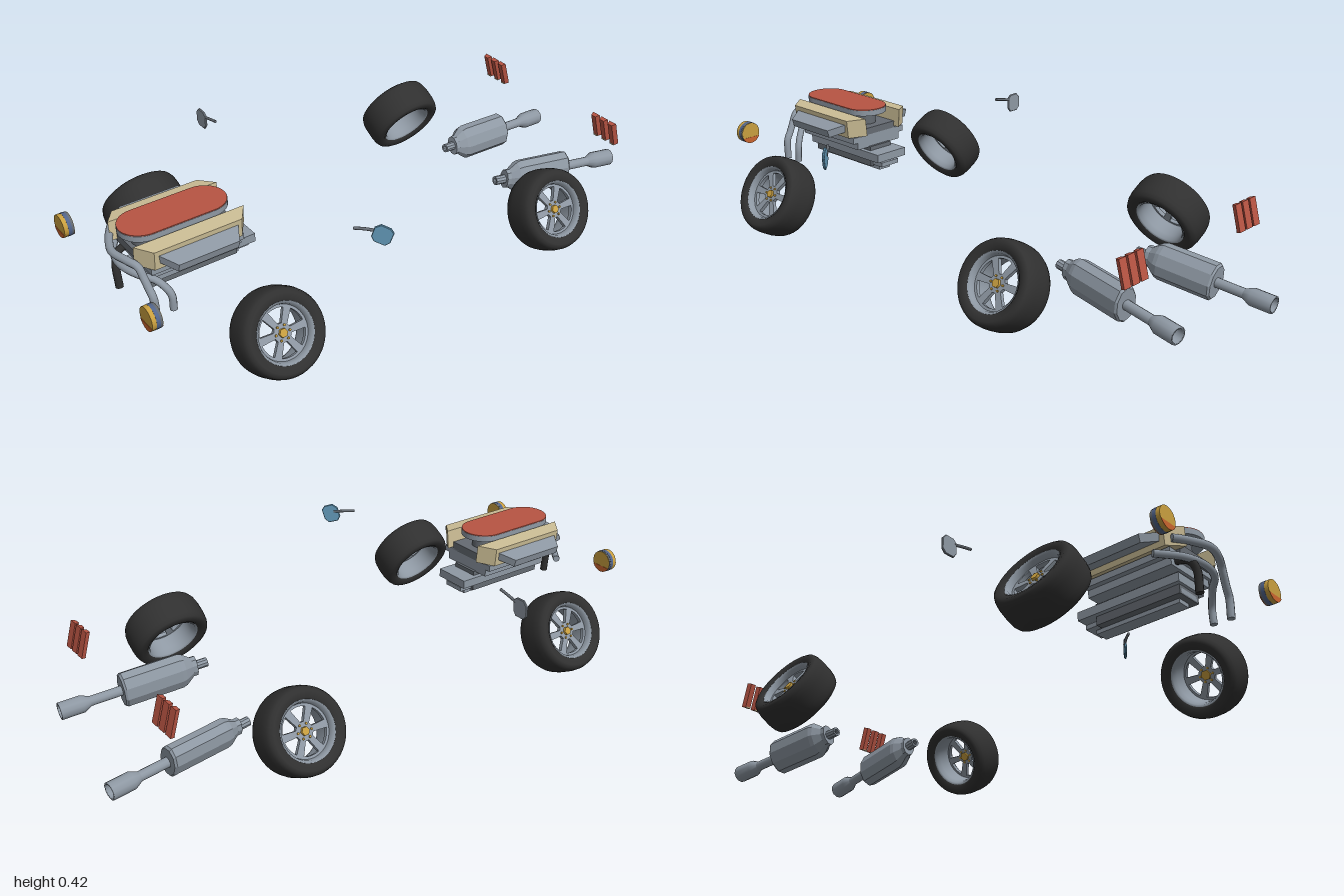
import * as THREE from 'three';

const mat = (name, color, double = false) => {
  const m = new THREE.MeshStandardMaterial({ color });
  m.name = name;
  m.flatShading = false;
  if (double) m.side = THREE.DoubleSide;
  return m;
};
const M = {
  steel: mat('steel grey', 0x8e98a3, true),
  dark: mat('dark grey', 0x656b72, true),
  rubber: mat('rubber black', 0x303030, true),
  tan: mat('tan', 0xcbbd95),
  red: mat('red', 0xb75443),
  gold: mat('gold', 0xc99f3f),
  orange: mat('orange', 0xc9652f),
  blue: mat('mirror blue', 0x679fbf),
  navy: mat('slate blue', 0x52658c),
};
const V = (x, y, z) => new THREE.Vector3(x, y, z);
const TAU = Math.PI * 2;

function add(parent, name, geo, material, pos = [0, 0, 0], rot = [0, 0, 0]) {
  const m = new THREE.Mesh(geo, material);
  m.name = name;
  m.position.set(...pos);
  m.rotation.set(...rot);
  parent.add(m);
  return m;
}
const box = (w, h, d) => new THREE.BoxGeometry(w, h, d);

// box given by its limits
function block(parent, name, material, x0, x1, y0, y1, z0, z1) {
  return add(parent, name, box(x1 - x0, y1 - y0, z1 - z0), material,
    [(x0 + x1) / 2, (y0 + y1) / 2, (z0 + z1) / 2]);
}
// upright prism from a plan outline of [x, z] points, centred on y = 0
function prism(pts, height) {
  const s = new THREE.Shape(pts.map(([x, z]) => new THREE.Vector2(x, -z)));
  const g = new THREE.ExtrudeGeometry(s, { depth: height, bevelEnabled: false });
  return g.rotateX(-Math.PI / 2).translate(0, -height / 2, 0);
}
function tube(parent, name, material, pts, r) {
  const c = new THREE.CatmullRomCurve3(pts.map((p) => V(...p)), false, 'centripetal');
  const g = new THREE.Group();
  g.name = name;
  add(g, name + 'Wall', new THREE.TubeGeometry(c, 40, r, 10), material);
  for (const t of [0, 1]) {
    const d = c.getTangent(t);
    const cap = add(g, name + 'End', new THREE.CircleGeometry(r, 10), material);
    cap.position.copy(c.getPoint(t));
    cap.quaternion.setFromUnitVectors(V(0, 0, 1), d);
  }
  parent.add(g);
}
const lathe = (pts, n) => new THREE.LatheGeometry(pts.map(([r, y]) => new THREE.Vector2(r, y)), n);

// wheel: axis along local y, outer face up
function wheel() {
  const g = new THREE.Group();
  add(g, 'tyre', lathe([[0.094, -0.05], [0.102, -0.058], [0.12, -0.062], [0.131, -0.056], [0.137, -0.042],
    [0.14, -0.02], [0.14, 0.02], [0.137, 0.042], [0.131, 0.056], [0.12, 0.062], [0.102, 0.058], [0.094, 0.05]], 48), M.rubber);
  add(g, 'rimBarrel', lathe([[0.095, -0.053], [0.088, -0.05], [0.084, -0.03], [0.084, 0.03], [0.088, 0.048], [0.096, 0.053]], 48), M.steel);
  // spoke disc with six tapered windows
  const disc = new THREE.Shape().absarc(0, 0, 0.086, 0, TAU);
  for (let i = 0; i < 6; i++) {
    const a = (i / 6) * TAU, h = new THREE.Path();
    h.absarc(0, 0, 0.076, a - 0.36, a + 0.36, false);
    h.lineTo(Math.cos(a + 0.2) * 0.03, Math.sin(a + 0.2) * 0.03);
    h.lineTo(Math.cos(a - 0.2) * 0.03, Math.sin(a - 0.2) * 0.03);
    h.closePath();
    disc.holes.push(h);
  }
  const spokes = new THREE.ExtrudeGeometry(disc, { depth: 0.014, bevelEnabled: false, curveSegments: 24 });
  add(g, 'spokes', spokes.rotateX(-Math.PI / 2), M.steel, [0, 0.018, 0]);
  add(g, 'hubCap', new THREE.CylinderGeometry(0.014, 0.018, 0.03, 6), M.gold, [0, 0.025, 0]);
  for (let i = 0; i < 6; i++) {
    const a = ((i + 0.5) / 6) * TAU;
    add(g, 'wheelNut', new THREE.CylinderGeometry(0.004, 0.004, 0.022, 6), M.gold,
      [Math.cos(a) * 0.024, 0.025, Math.sin(a) * 0.024]);
  }
  return g;
}

// exhaust: runs from a (front) to b (rear tip)
function exhaust(a, b, roll) {
  const g = new THREE.Group(), L = a.distanceTo(b);
  g.name = 'exhaust';
  const part = (name, pts, n, flat = 1) => {
    const geo = lathe(pts, n).toNonIndexed();
    geo.rotateX(Math.PI / 2).rotateZ(Math.PI / n).scale(1, flat, 1);
    if (n < 12) geo.computeVertexNormals();
    add(g, name, geo, M.steel);
  };
  part('inletPipe', [[0.009, 0.03], [0.009, 0], [0.016, 0], [0.016, 0.06]], 10);
  part('muffler', [[0, 0.04], [0.036, 0.04], [0.036, 0.056], [0.058, 0.085], [0.063, 0.1],
    [0.063, 0.295], [0.056, 0.302], [0, 0.302]], 10, 0.7);
  part('tailPipe', [[0.017, 0.29], [0.017, L - 0.1]], 12);
  part('tip', [[0.016, L - 0.105], [0.03, L - 0.075], [0.03, L], [0.023, L], [0.021, L - 0.06], [0, L - 0.06]], 12);
  g.position.copy(a);
  g.quaternion.setFromUnitVectors(V(0, 0, 1), b.clone().sub(a).normalize())
    .multiply(new THREE.Quaternion().setFromAxisAngle(V(0, 0, 1), roll));
  return g;
}

// headlight: gold lens with an orange lower segment, slate band around the back half
function headlight() {
  const g = new THREE.Group();
  g.name = 'headlight';
  const drum = (name, r, d, m, z) =>
    add(g, name, new THREE.CylinderGeometry(r, r, d, 20).rotateX(Math.PI / 2), m, [0, 0, z]);
  drum('shell', 0.039, 0.008, M.dark, -0.013);
  drum('band', 0.0395, 0.012, M.navy, -0.004);
  drum('lens', 0.039, 0.014, M.gold, 0.009);
  const seg = new THREE.Shape().absarc(0, 0, 0.0385, Math.PI * 1.14, Math.PI * 1.86, false);
  add(g, 'frontIndicator', new THREE.ExtrudeGeometry(seg, { depth: 0.002, bevelEnabled: false }), M.orange, [0, 0, 0.0155]);
  drum('rearCap', 0.038, 0.002, M.gold, -0.0175);
  add(g, 'rearIndicator', new THREE.ExtrudeGeometry(seg, { depth: 0.002, bevelEnabled: false }), M.orange, [0, 0, -0.0195]);
  return g;
}

// tail light: three leaning tapered bars
function tailLight() {
  const g = new THREE.Group();
  g.name = 'tailLight';
  for (const x of [-0.04, 0, 0.04]) {
    add(g, 'lampBar', prism([[-0.016, -0.008], [0.016, -0.008], [0.01, 0.008], [-0.01, 0.008]], 0.09), M.red, [x, 0, 0]);
    add(g, 'lampBase', box(0.018, 0.004, 0.006), M.tan, [x, -0.044, 0.007]);
  }
  g.rotation.x = 0.27;
  return g;
}

// mirror: eight-sided head facing local z
function mirrorHead(m) {
  const s = new THREE.Shape([[-0.018, -0.033], [0.016, -0.033], [0.027, -0.018], [0.028, 0.018], [0.015, 0.029],
    [-0.015, 0.03], [-0.03, 0.014], [-0.03, -0.02]].map(([x, y]) => new THREE.Vector2(x, y)));
  return add(new THREE.Group(), 'mirrorHead', new THREE.ExtrudeGeometry(s,
    { depth: 0.004, bevelThickness: 0.002, bevelSize: 0.002, bevelSegments: 1 }), m);
}

function engine() {
  const g = new THREE.Group();
  g.name = 'engine';
  // stadium air cleaner with red lid
  const stadium = (r, h) => {
    const s = new THREE.Shape();
    s.absarc(0, -0.745 + 0.105, r, 0, Math.PI, false);
    s.absarc(0, -0.745 - 0.105, r, Math.PI, TAU, false);
    return new THREE.ExtrudeGeometry(s, { depth: h, bevelEnabled: false, curveSegments: 16 }).rotateX(-Math.PI / 2);
  };
  add(g, 'airCleaner', stadium(0.077, 0.02), M.steel, [0, 0.378, 0]);
  add(g, 'airCleanerLid', stadium(0.076, 0.003), M.red, [0, 0.398, 0]);
  add(g, 'airCleanerNeck', stadium(0.037, 0.08), M.dark, [0, 0.3, 0]);
  // block, rails and sump
  block(g, 'upperBlock', M.steel, -0.12, 0.12, 0.288, 0.31, 0.57, 0.89);
  block(g, 'valley', M.dark, -0.08, 0.08, 0.305, 0.335, 0.57, 0.9);
  block(g, 'middleBlock', M.steel, -0.1, 0.1, 0.262, 0.29, 0.57, 0.88);
  block(g, 'core', M.dark, -0.05, 0.05, 0.19, 0.265, 0.56, 0.87);
  block(g, 'crankcase', M.steel, -0.067, 0.067, 0.22, 0.25, 0.5, 0.88);
  block(g, 'sump', M.steel, -0.04, 0.04, 0.195, 0.211, 0.51, 0.87);
  block(g, 'sumpPan', M.steel, -0.025, 0.025, 0.175, 0.189, 0.54, 0.85);
  block(g, 'sumpCore', M.dark, -0.02, 0.02, 0.18, 0.225, 0.55, 0.84);
  // valve covers and exhaust flanges on both banks
  for (const s of [-1, 1]) {
    const plan = (p) => p.map(([x, z]) => [s * x, z]);
    add(g, 'valveCover', prism(plan([[-0.028, -0.19], [0.028, -0.15], [0.028, 0.15], [-0.028, 0.19]]), 0.066),
      M.tan, [s * 0.107, 0.347, 0.733], [0, 0, -s * 0.09]);
    add(g, 'exhaustFlange', prism(plan([[-0.04, -0.145], [0.03, -0.108], [0.03, 0.098], [-0.04, 0.14]]), 0.028),
      M.steel, [s * 0.16, 0.339, 0.735], [0, 0, -s * 0.27]);
  }
  // coolant pipes across the front and down the left side
  tube(g, 'upperPipe', M.steel, [[-0.12, 0.335, 0.9], [-0.07, 0.335, 0.93], [0, 0.335, 0.955], [0.07, 0.335, 0.94],
    [0.108, 0.328, 0.925], [0.125, 0.3, 0.92], [0.145, 0.265, 0.915], [0.16, 0.24, 0.912], [0.163, 0.17, 0.91]], 0.013);
  tube(g, 'lowerPipe', M.steel, [[-0.165, 0.279, 0.86], [-0.08, 0.279, 0.918], [0, 0.279, 0.935], [0.08, 0.279, 0.915],
    [0.12, 0.268, 0.88], [0.145, 0.245, 0.86], [0.157, 0.22, 0.85], [0.16, 0.17, 0.85]], 0.012);
  tube(g, 'hose', M.rubber, [[-0.078, 0.283, 0.88], [-0.06, 0.278, 0.915], [-0.045, 0.25, 0.93], [-0.038, 0.17, 0.93]], 0.013);
  return g;
}

export function createModel() {
  const root = new THREE.Group();
  root.name = 'carParts';
  root.add(engine());
  for (const s of [-1, 1]) {
    const side = s > 0 ? 'left' : 'right';
    for (const [end, x, z] of [['Front', 0.415, 0.645], ['Rear', 0.413, -0.452]]) {
      const w = wheel();
      w.name = side + end + 'Wheel';
      w.position.set(s * x, 0.149, z);
      w.rotation.z = -s * THREE.MathUtils.degToRad(61);
      root.add(w);
    }
    const h = headlight();
    h.position.set(s * 0.288, 0.285, 0.983);
    const t = tailLight();
    t.position.set(s * 0.29, 0.279, -0.83);
    root.add(h, t);
  }
  root.add(exhaust(V(-0.187, 0.088, -0.495), V(-0.22, 0.045, -0.997), -0.15));
  root.add(exhaust(V(0.15, 0.133, -0.445), V(0.22, 0.085, -0.95), 0.4));
  // side mirrors on thin stalks
  const left = mirrorHead(M.blue), right = mirrorHead(M.steel);
  left.position.set(0.468, 0.386, 0.295);
  left.rotation.set(0, 0.7, -0.3);
  right.position.set(-0.5, 0.363, 0.353);
  root.add(left, right);
  tube(root, 'leftMirrorStalk', M.dark, [[0.405, 0.4, 0.36], [0.43, 0.398, 0.33], [0.458, 0.394, 0.303]], 0.005);
  tube(root, 'rightMirrorStalk', M.dark, [[-0.405, 0.392, 0.355], [-0.44, 0.385, 0.355], [-0.478, 0.376, 0.355]], 0.005);
  return root;
}
